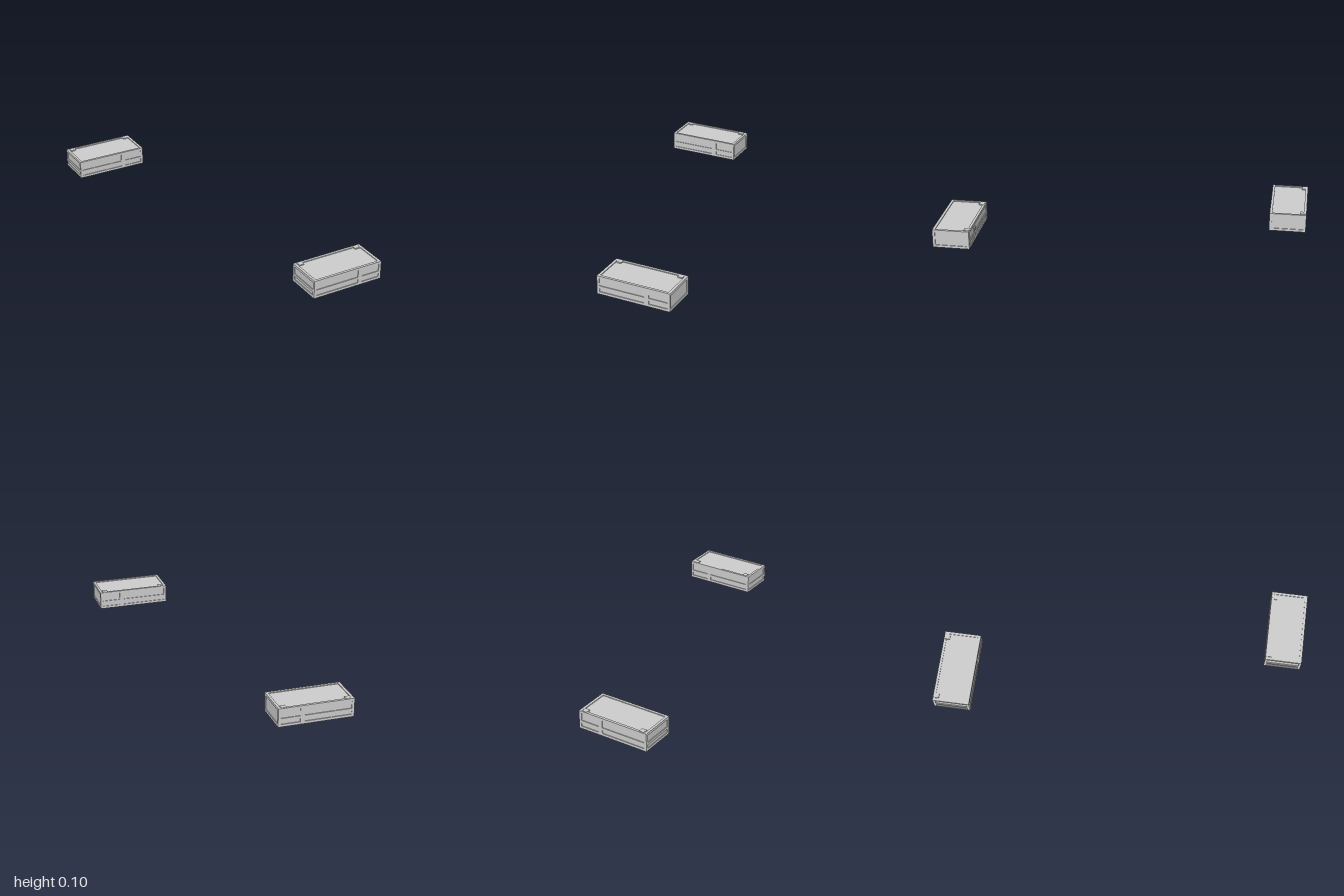
import * as THREE from 'three';

const LENGTH = 0.38, WIDTH = 0.188, HEIGHT = 0.095;
const RIM = 0.013, DEPTH = 0.004;
const material = new THREE.MeshStandardMaterial({ color: 0xcccccc, flatShading: true });

function mesh(name, geometry, parent) {
  const m = new THREE.Mesh(geometry, material);
  m.name = name;
  parent.add(m);
  return m;
}

function rectangle(path, x0, y0, x1, y1) {
  path.moveTo(x0, y0);
  path.lineTo(x1, y0);
  path.lineTo(x1, y1);
  path.lineTo(x0, y1);
  path.closePath();
  return path;
}

// Flat frame with rectangular openings between the given columns and rows
function frameGeometry(w, h, columns, rows) {
  const shape = rectangle(new THREE.Shape(), -w / 2, -h / 2, w / 2, h / 2);
  for (const [x0, x1] of columns) {
    for (const [y0, y1] of rows) {
      shape.holes.push(rectangle(new THREE.Path(), x0, y0, x1, y1));
    }
  }
  return new THREE.ExtrudeGeometry(shape, { depth: DEPTH, bevelEnabled: false });
}

function createBlock() {
  const block = new THREE.Group();
  const endX = LENGTH / 2 - RIM, endZ = WIDTH / 2 - RIM, endY = HEIGHT / 2 - RIM;

  // Solid core, set back behind the frames
  const core = mesh('core', new THREE.BoxGeometry(LENGTH - 2 * DEPTH, HEIGHT - DEPTH, WIDTH - 2 * DEPTH), block);
  core.position.y = (HEIGHT - DEPTH) / 2;

  const barred = [[-endY, 0.031 - HEIGHT / 2], [0.044 - HEIGHT / 2, endY]];
  const open = [[-endY, endY]];

  // Long sides: a post at one third and a horizontal rail
  const front = mesh('frontFrame', frameGeometry(LENGTH, HEIGHT, [[-endX, 0.058], [0.08, endX]], barred), block);
  front.position.set(0, HEIGHT / 2, WIDTH / 2 - DEPTH);
  const back = mesh('backFrame', frameGeometry(LENGTH, HEIGHT, [[-endX, -0.08], [-0.058, endX]], barred), block);
  back.rotation.y = Math.PI;
  back.position.set(0, HEIGHT / 2, DEPTH - WIDTH / 2);

  // Ends: one open panel, one with a rail
  for (const [name, side, rows] of [['leftEndFrame', 1, open], ['rightEndFrame', -1, barred]]) {
    const end = mesh(name, frameGeometry(WIDTH, HEIGHT, [[-endZ, endZ]], rows), block);
    end.rotation.y = side * Math.PI / 2;
    end.position.set(side * (LENGTH / 2 - DEPTH), HEIGHT / 2, 0);
  }

  // Raised rim round the roof
  const roof = mesh('roofRim', frameGeometry(LENGTH, WIDTH, [[-endX, endX]], [[-endZ, endZ]]), block);
  roof.rotation.x = -Math.PI / 2;
  roof.position.y = HEIGHT - DEPTH;

  // Small pads near the rear roof corners
  for (const side of [-1, 1]) {
    const pad = mesh('roofPad', new THREE.BoxGeometry(0.026, 0.007, 0.027), block);
    pad.position.set(side * 0.161, HEIGHT - 0.0015, -0.077);
  }
  return block;
}

export function createModel() {
  const model = new THREE.Group();
  model.name = 'pairOfBlocks';
  for (const [name, z] of [['frontBlock', 0.86], ['rearBlock', -0.86]]) {
    const block = createBlock();
    block.name = name;
    block.position.z = z;
    block.rotation.y = -Math.PI / 12;
    model.add(block);
  }
  return model;
}
